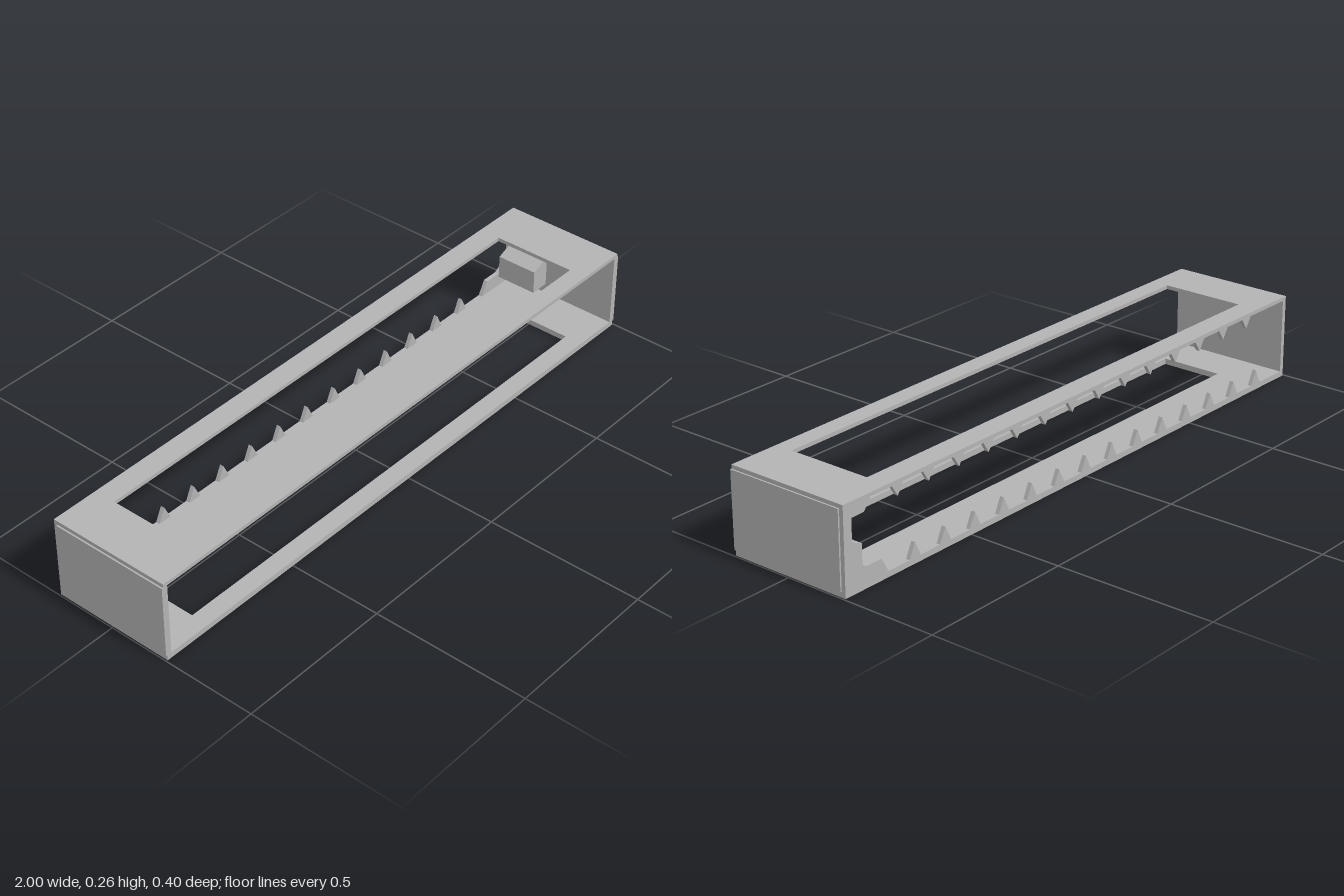
import * as THREE from 'three';

const H = 0.265, FLOOR = 0.018, CEIL = 0.253, BACK = -0.187, END = 0.995;

export function createModel() {
  const model = new THREE.Group();
  model.name = 'toothedTray';
  const grey = new THREE.MeshStandardMaterial({ color: 0xb3b3b3 });
  grey.name = 'grey';

  const add = (name, geometry, x = 0, y = 0, z = 0) => {
    const mesh = new THREE.Mesh(geometry, grey);
    mesh.name = name;
    mesh.position.set(x, y, z);
    model.add(mesh);
    return mesh;
  };
  const outline = (points) => points.map(([x, y]) => new THREE.Vector2(x, y));
  const rect = (x0, y0, x1, y1) => outline([[x0, y0], [x1, y0], [x1, y1], [x0, y1]]);
  const extrude = (points, hole, depth) => {
    const shape = new THREE.Shape(points);
    if (hole) shape.holes.push(new THREE.Path(hole));
    return new THREE.ExtrudeGeometry(shape, { depth, bevelEnabled: false });
  };

  // floor and roof plates, each with a long window (shape y is -z)
  const plate = (name, bottom, top, windowBack) => {
    const geometry = extrude(rect(-END, -0.2, END, -BACK),
      rect(-0.84, -0.142, 0.83, -windowBack), top - bottom);
    geometry.rotateX(-Math.PI / 2);
    add(name, geometry, 0, bottom, 0);
  };
  plate('floor', 0, FLOOR, -0.06);
  plate('roof', CEIL, H, -0.13);

  // end walls stand slightly proud of the plates
  for (const side of [-1, 1]) {
    add(side > 0 ? 'leftEndWall' : 'rightEndWall',
      new THREE.BoxGeometry(0.02, CEIL - FLOOR, 0.2 - BACK),
      side * 0.99, (CEIL + FLOOR) / 2, (0.2 + BACK) / 2);
  }

  // back frame: one opening edged with teeth and a corner bracket
  const opening = [[-0.98, FLOOR]];
  const pitch = 0.121, half = 0.022;
  for (let i = 0; i < 14; i++) {
    const x = -0.845 + i * pitch;
    opening.push([x - half, FLOOR], [x, 0.063], [x + half, FLOOR]);
  }
  opening.push([0.832, FLOOR], [0.857, 0.063], [0.914, 0.063],
    [0.965, 0.098], [0.965, 0.219], [0.918, 0.219], [0.893, CEIL]);
  for (let i = 13; i >= 0; i--) {
    const x = -0.783 + i * pitch;
    opening.push([x + half, CEIL], [x, 0.219], [x - half, CEIL]);
  }
  opening.push([-0.98, CEIL]);
  add('toothedBackFrame',
    extrude(rect(-END, 0, END, H), outline(opening), BACK + 0.2), 0, 0, -0.2);

  // slope-topped catch block behind the corner bracket
  add('catchBlock', extrude(outline([[0.916, 0.05], [0.982, 0.05],
    [0.982, 0.153], [0.916, 0.126]]), null, 0.137), 0, 0, BACK);

  return model;
}
